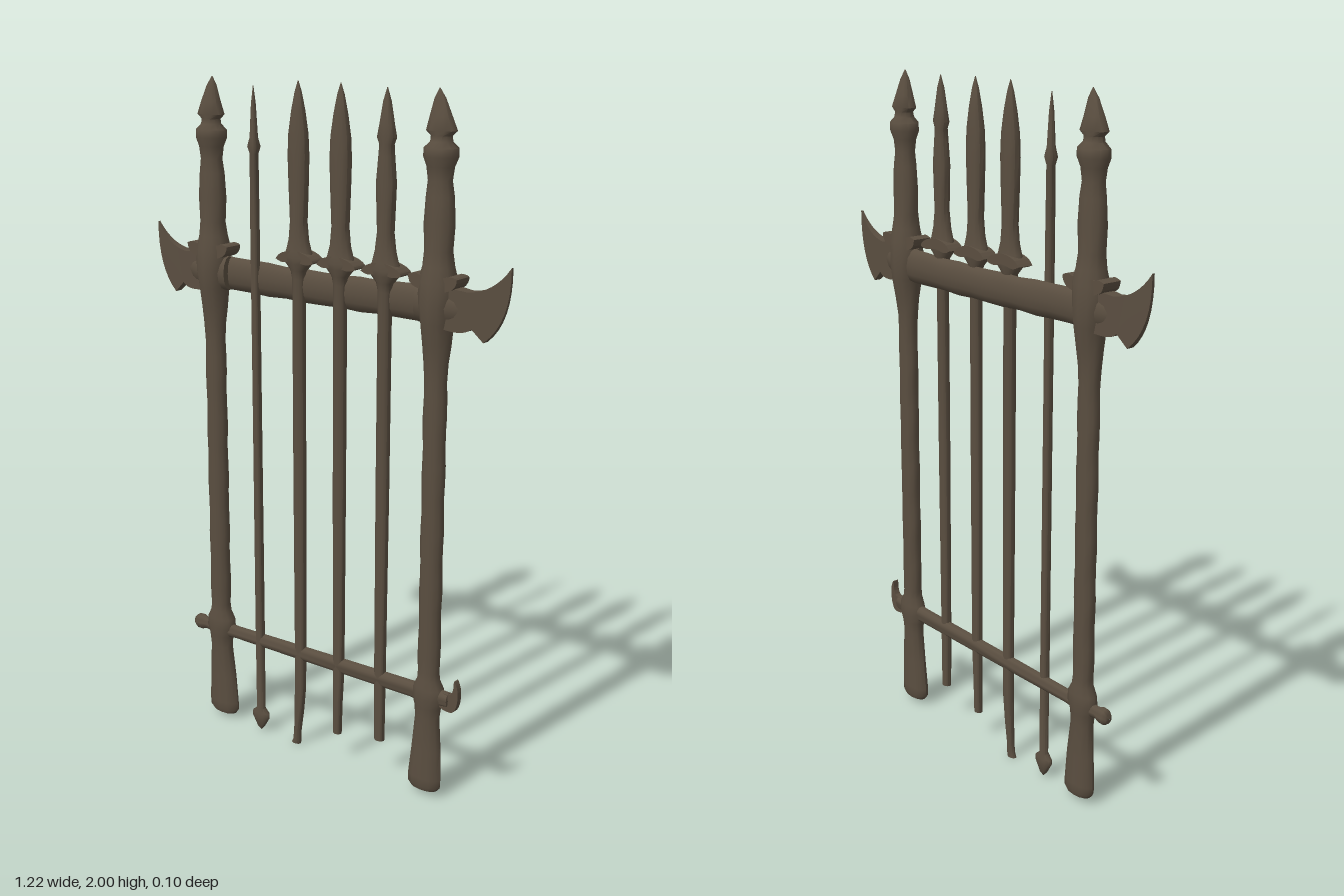
import * as THREE from 'three';
import { toCreasedNormals } from 'three/addons/utils/BufferGeometryUtils.js';

const SIDES = 12;

// Tube through elliptical rings listed top to bottom: [y, half width, half depth, x offset, z offset]
function loft(rings, wobble = 0) {
  const geo = new THREE.CylinderGeometry(1, 1, 1, SIDES, rings.length - 1, true);
  const pos = geo.attributes.position;
  for (let i = 0; i < pos.count; i++) {
    const [y, rx, rz, dx = 0, dz = 0] = rings[Math.floor(i / (SIDES + 1))];
    const a = (i % (SIDES + 1)) % SIDES / SIDES * Math.PI * 2;
    const w = 1 + wobble * Math.sin(y * 37 + Math.sin(a) * 3);
    pos.setXYZ(i, dx + Math.sin(a) * rx * w, y, dz + Math.cos(a) * rz);
  }
  return toCreasedNormals(geo, 0.9);
}

// Thin plate from an outline; half depth changes along x
function plate(outline, halfDepth) {
  const shape = new THREE.Shape();
  shape.moveTo(...outline[0]);
  shape.splineThru(outline.slice(1).map(p => new THREE.Vector2(...p)));
  const geo = new THREE.ExtrudeGeometry(shape, { depth: 1, bevelEnabled: false, curveSegments: 24 });
  const pos = geo.attributes.position;
  for (let i = 0; i < pos.count; i++) {
    pos.setZ(i, (pos.getZ(i) > 0.5 ? 1 : -1) * halfDepth(pos.getX(i)));
  }
  return toCreasedNormals(geo, 0.7);
}

export function createModel() {
  const group = new THREE.Group();
  const iron = new THREE.MeshStandardMaterial({ name: 'dark bronze', color: 0x5a4e40 });
  const add = (name, geo, x = 0, y = 0, z = 0) => {
    const mesh = new THREE.Mesh(geo, iron);
    mesh.name = name;
    mesh.position.set(x, y, z);
    group.add(mesh);
    return mesh;
  };

  // Corner posts: spear tip, ball, grip, thick joint, shaft, lower knot and flared foot
  const postTop = [
    [2, 0.001, 0.001, 0.008], [1.975, 0.016, 0.01, 0.006], [1.93, 0.034, 0.02, 0.002], [1.895, 0.047, 0.028],
    [1.882, 0.03, 0.024], [1.868, 0.03, 0.028], [1.852, 0.047, 0.039], [1.83, 0.047, 0.039],
    [1.805, 0.038, 0.03], [1.77, 0.035, 0.026], [1.73, 0.042, 0.029], [1.66, 0.043, 0.032],
    [1.59, 0.041, 0.033], [1.55, 0.046, 0.038], [1.51, 0.054, 0.046], [1.45, 0.053, 0.048],
    [1.4, 0.047, 0.044], [1.34, 0.04, 0.033], [1.29, 0.035, 0.027],
  ];
  const postShaft = Array.from({ length: 19 }, (_, i) => [1.24 - i * 0.047, 0.034, 0.025]);
  const postFoot = [
    [0.37, 0.036, 0.027], [0.345, 0.049, 0.031], [0.315, 0.05, 0.032], [0.285, 0.04, 0.028],
    [0.25, 0.039, 0.025], [0.15, 0.047, 0.025], [0.06, 0.057, 0.026], [0.035, 0.057, 0.026],
    [0.022, 0.045, 0.021], [0.02, 0.001, 0.001],
  ];
  // Collar with drooping horns around a post
  const collar = [[-0.076, 0.02], [-0.055, 0.026], [-0.035, 0.022], [0, 0.03], [0.035, 0.022], [0.055, 0.026],
    [0.076, 0.02], [0.068, -0.002], [0.045, -0.014], [0, -0.02], [-0.045, -0.014], [-0.068, -0.002], [-0.076, 0.02]];

  // Axe blade at the end of the top rail
  const blade = new THREE.Shape();
  blade.moveTo(0.4, 1.505);
  blade.lineTo(0.4, 1.395);
  blade.quadraticCurveTo(0.48, 1.375, 0.505, 1.4);
  blade.lineTo(0.54, 1.368);
  blade.quadraticCurveTo(0.617, 1.43, 0.612, 1.57);
  blade.quadraticCurveTo(0.565, 1.5, 0.49, 1.495);
  blade.closePath();
  const bladeOutline = blade.getPoints(8).map(p => [p.x, p.y]);

  for (const side of [-1, 1]) {
    const label = side > 0 ? 'left' : 'right';
    const x = side > 0 ? 0.39 : -0.395;
    add(label + 'Post', loft([...postTop, ...postShaft, ...postFoot].map(([y, rx, rz, dx = 0]) =>
      [y, rx, rz, y < 0.28 ? -side * (0.28 - y) * 0.03 : -side * dx]), 0.05), x);
    add(label + 'PostCollar', plate(collar, () => 0.03), x, 1.505);
    const bladeGeo = new THREE.ExtrudeGeometry(new THREE.Shape(bladeOutline.map(([a, b]) =>
      new THREE.Vector2(side * a, b))), { depth: 1, bevelEnabled: false });
    const pos = bladeGeo.attributes.position;
    for (let i = 0; i < pos.count; i++) {
      const half = THREE.MathUtils.mapLinear(Math.min(Math.abs(pos.getX(i)), 0.61), 0.4, 0.61, 0.026, 0.004);
      pos.setZ(i, (pos.getZ(i) > 0.5 ? 1 : -1) * half);
    }
    add(label + 'AxeBlade', toCreasedNormals(bladeGeo, 0.8));
    // Rail socket outside the post
    add(label + 'RailSocket', loft([[0.085, 0.001, 0.001], [0.08, 0.036, 0.018], [0.05, 0.045, 0.028],
      [0, 0.055, 0.034], [-0.06, 0.05, 0.027], [-0.061, 0.001, 0.001]]).rotateZ(-side * Math.PI / 2), x, 1.445);
  }

  // Top rail, sagging a little in the middle
  const rail = Array.from({ length: 13 }, (_, i) => {
    const x = 0.39 - i * 0.065;
    return [x, 0.047 + 0.02 * x * x, 0.02, 0.006 - 0.04 * x * x, -0.011];
  });
  add('topRail', loft(rail, 0.04).rotateZ(-Math.PI / 2), 0, 1.445);

  // Bottom rail with a knob at one end and a hook at the other
  add('bottomRail', loft([[0.465, 0.001, 0.001], [0.46, 0.022, 0.016], [0.38, 0.03, 0.02], [0.33, 0.025, 0.017],
    [0.1, 0.024, 0.016], [-0.15, 0.022, 0.016], [-0.33, 0.02, 0.016], [-0.39, 0.026, 0.02], [-0.455, 0.018, 0.014],
    [-0.47, 0.024, 0.019], [-0.488, 0.024, 0.019], [-0.5, 0.015, 0.012], [-0.502, 0.001, 0.001]].map(
    ([x, a, b]) => [x, a, b, -x * 0.02])).rotateZ(-Math.PI / 2), 0, 0.315);
  add('bottomHook', plate([[0.43, 0.345], [0.465, 0.345], [0.478, 0.362], [0.482, 0.392], [0.494, 0.36],
    [0.49, 0.315], [0.472, 0.292], [0.43, 0.302], [0.43, 0.345]], () => 0.009));

  // Slim arrow bar
  add('arrowBar', loft([[1.98, 0.001, 0.001], [1.93, 0.007, 0.007], [1.84, 0.012, 0.012], [1.815, 0.02, 0.017],
    [1.795, 0.013, 0.012], [1.6, 0.014, 0.013], [1.1, 0.014, 0.013], [0.4, 0.015, 0.013], [0.08, 0.014, 0.013],
    [0.065, 0.032, 0.015], [0.05, 0.032, 0.015], [0.018, 0.013, 0.01], [0.005, 0.001, 0.001]]), -0.232, 0, 0.004);

  // Sword bars: blade, drooping guard and shaft with a tapered foot
  const leafBlade = [[2, 0.001, 0.001], [1.97, 0.011, 0.008], [1.92, 0.022, 0.015], [1.86, 0.032, 0.019],
    [1.8, 0.035, 0.02], [1.72, 0.032, 0.02], [1.62, 0.027, 0.02]];
  const barbedBlade = [[1.995, 0.001, 0.001], [1.96, 0.012, 0.009], [1.9, 0.023, 0.015], [1.868, 0.03, 0.018],
    [1.85, 0.022, 0.016], [1.82, 0.024, 0.018], [1.75, 0.031, 0.02], [1.68, 0.028, 0.02], [1.62, 0.025, 0.02]];
  const guard = [[1.57, 0.032, 0.022], [1.54, 0.041, 0.025], [1.52, 0.052, 0.027], [1.505, 0.045, 0.026],
    [1.485, 0.026, 0.02], [1.46, 0.021, 0.016]];
  const swords = [
    { x: -0.074, head: leafBlade, foot: [[0.3, 0.019, 0.014], [0.2, 0.019, 0.014, -0.001], [0.12, 0.016, 0.013, -0.006],
      [0.05, 0.012, 0.011, -0.012], [0.018, 0.014, 0.011, -0.014], [0.006, 0.016, 0.011, -0.018], [0.005, 0.001, 0.001, -0.018]] },
    { x: 0.071, head: leafBlade, foot: [[0.3, 0.019, 0.014], [0.2, 0.015, 0.013, -0.002], [0.092, 0.014, 0.012, -0.004], [0.09, 0.001, 0.001, -0.004]] },
    { x: 0.222, head: barbedBlade, foot: [[0.3, 0.018, 0.014], [0.122, 0.016, 0.013, 0.001], [0.12, 0.001, 0.001, 0.001]] },
  ];
  const wings = [[-0.066, 0.004], [-0.045, 0.022], [0, 0.032], [0.045, 0.022], [0.066, 0.004],
    [0.04, -0.004], [0, 0.002], [-0.04, -0.004], [-0.066, 0.004]];
  swords.forEach(({ x, head, foot }, i) => {
    add('swordBar' + (i + 1), loft([...head, ...guard, [0.9, 0.021, 0.015], ...foot]), x, 0, 0.002);
    add('swordGuard' + (i + 1), plate(wings, () => 0.025), x, 1.51);
  });
  return group;
}
